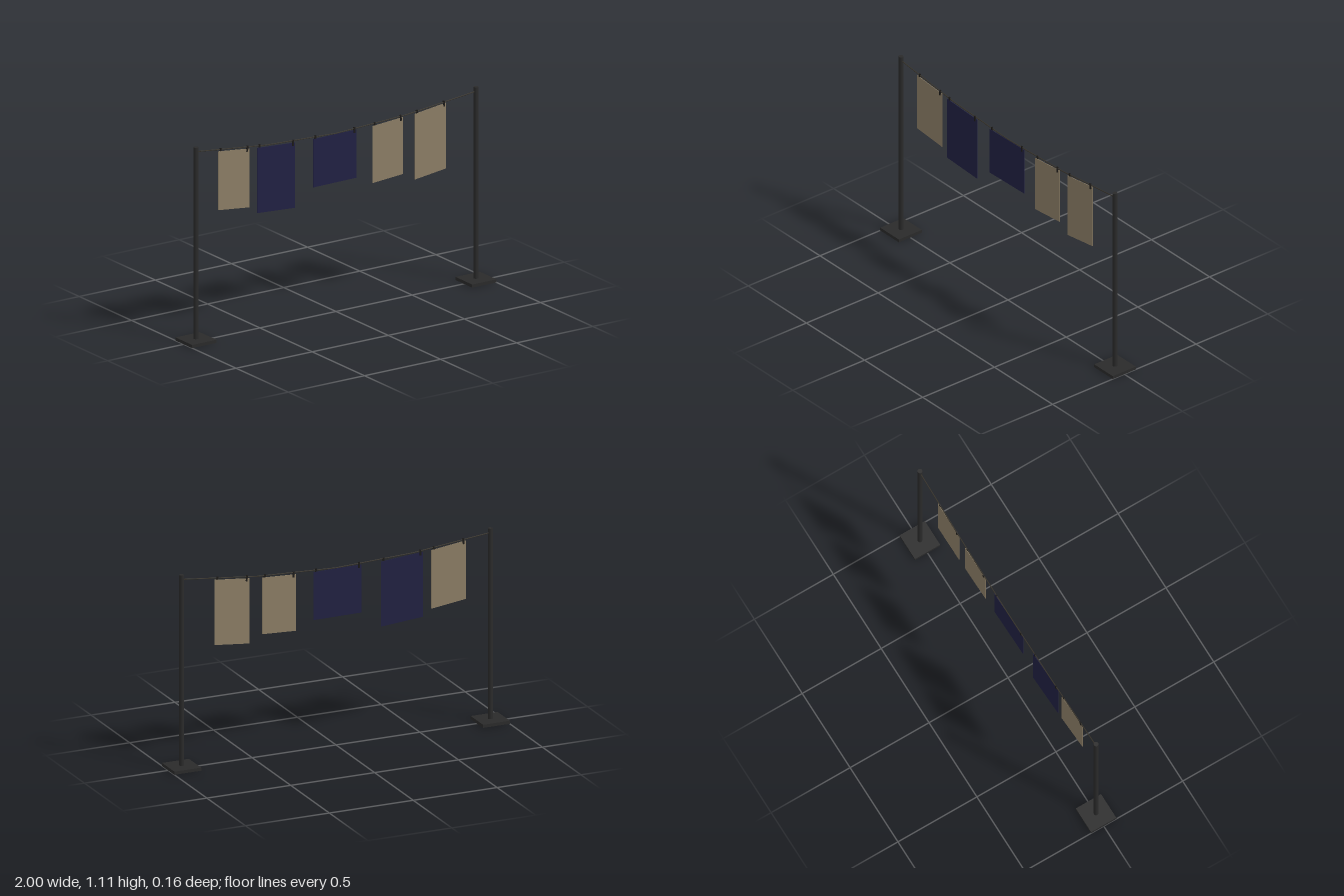
import * as THREE from 'three';

const mat = (name, color, extra = {}) => {
  const m = new THREE.MeshStandardMaterial({ color, ...extra });
  m.name = name;
  return m;
};

export function createModel() {
  const root = new THREE.Group();
  root.name = 'clothesline';
  const metal = mat('dark metal', 0x2a2a2a);
  const cord = mat('cord', 0x38342c);
  const pegMat = mat('peg black', 0x1c1a18);
  const tan = mat('tan cloth', 0x8b7d65);
  const navy = mat('navy cloth', 0x202042);

  const add = (parent, name, geo, material, x = 0, y = 0, z = 0) => {
    const mesh = new THREE.Mesh(geo, material);
    mesh.name = name;
    mesh.position.set(x, y, z);
    parent.add(mesh);
    return mesh;
  };

  // Posts on square foot plates
  for (const side of [-1, 1]) {
    const post = new THREE.Group();
    post.name = side > 0 ? 'leftPost' : 'rightPost';
    post.position.x = side * 0.92;
    add(post, 'footPlate', new THREE.BoxGeometry(0.16, 0.018, 0.16), metal, 0, 0.009, 0);
    add(post, 'pole', new THREE.CylinderGeometry(0.0135, 0.0135, 1.095, 12), metal, 0, 0.5625, 0);
    root.add(post);
  }

  // Sagging line made of straight spans
  const knots = [[-0.92, 1.084], [-0.46, 1.035], [0, 1.016], [0.46, 1.035], [0.92, 1.084]];
  const line = new THREE.CurvePath();
  for (let i = 0; i < knots.length - 1; i++) {
    line.add(new THREE.LineCurve3(
      new THREE.Vector3(...knots[i], 0), new THREE.Vector3(...knots[i + 1], 0)));
  }
  add(root, 'line', new THREE.TubeGeometry(line, 32, 0.003, 6), cord);

  // Cloths: left x, right x, top y at each end, drop, colour
  const cloths = [
    [-0.775, -0.567, 1.059, 1.035, 0.335, tan],
    [-0.519, -0.267, 1.031, 1.013, 0.372, navy],
    [-0.152, 0.136, 1.012, 1.012, 0.275, navy],
    [0.238, 0.441, 1.013, 1.025, 0.324, tan],
    [0.516, 0.725, 1.031, 1.054, 0.374, tan],
  ];
  const pegGeo = new THREE.BoxGeometry(0.009, 0.033, 0.007);
  cloths.forEach(([x0, x1, y0, y1, drop, material]) => {
    const set = new THREE.Group();
    set.name = 'hangingCloth';
    const w = x1 - x0;
    const slope = (y1 - y0) / w;
    const geo = new THREE.BoxGeometry(w, drop, 0.003);
    // Shear the sheet along the line and turn it slightly
    const p = geo.attributes.position;
    for (let i = 0; i < p.count; i++) {
      const x = p.getX(i);
      p.setY(i, p.getY(i) + x * slope);
      p.setZ(i, p.getZ(i) - (x / w) * 0.006);
    }
    geo.computeVertexNormals();
    add(set, 'sheet', geo, material, (x0 + x1) / 2, (y0 + y1) / 2 - drop / 2, 0);

    // A peg near each top corner
    for (const x of [x0 + 0.016, x1 - 0.016]) {
      const peg = add(set, 'peg', pegGeo, pegMat, x, y0 + (x - x0) * slope + 0.001, 0);
      peg.rotation.z = Math.atan(slope);
    }
    root.add(set);
  });

  return root;
}
